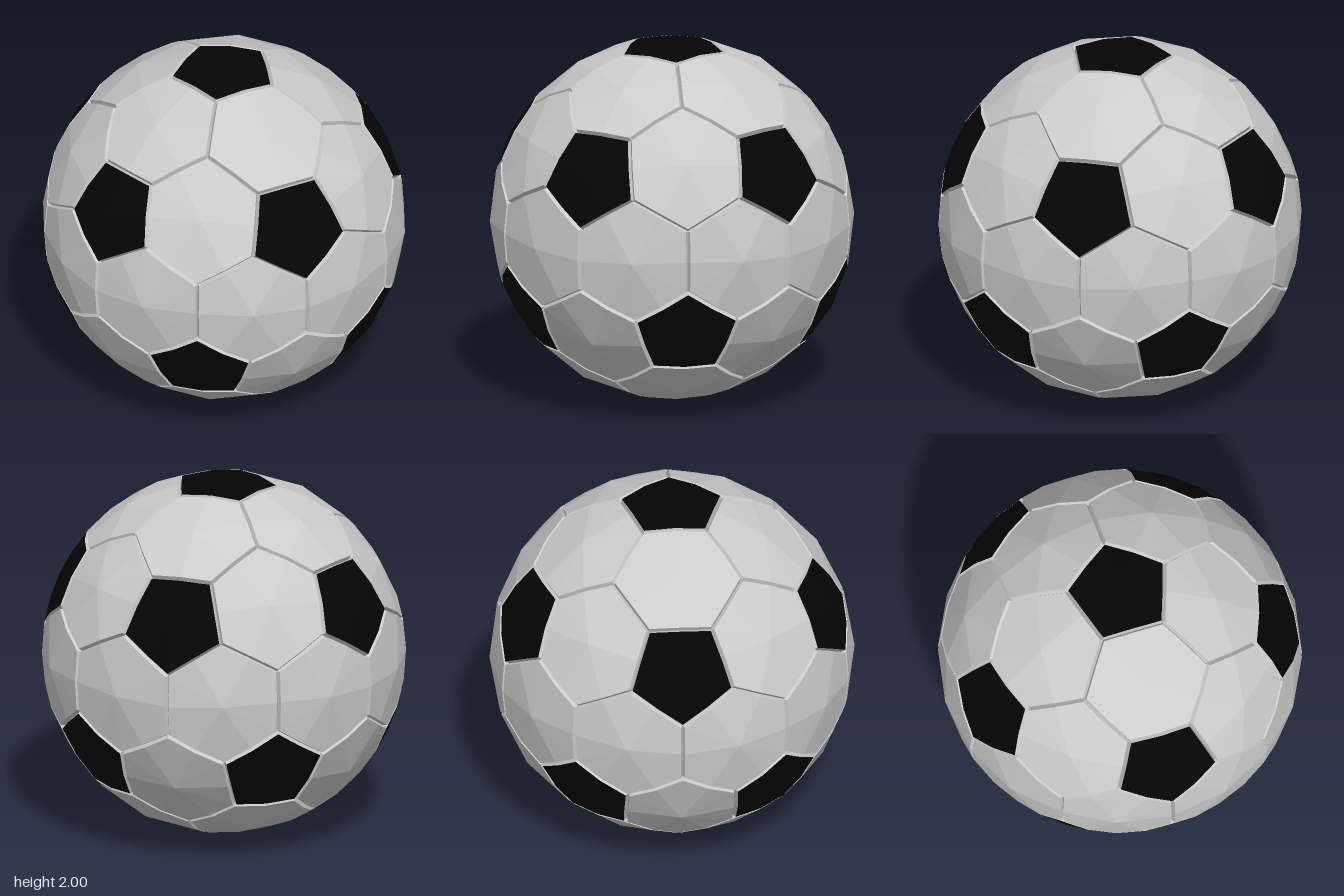
import * as THREE from 'three';

const RIM = 0.992, FLOOR = 0.966; // radii of panel borders and of the groove bottom
const INSET = 0.011;              // half the groove width
const PENT_ANGLE = THREE.MathUtils.degToRad(17.3);

const sum = (...vs) => vs.reduce((s, v) => s.add(v), new THREE.Vector3()).normalize();

// Point on the unit sphere at a given angle from a, on the way to b
function toward(a, b, angle) {
  const side = b.clone().addScaledVector(a, -a.dot(b)).normalize();
  return a.clone().multiplyScalar(Math.cos(angle)).addScaledVector(side, Math.sin(angle));
}

// Order directions counter-clockwise about a centre, seen from outside
function sortAround(center, dirs) {
  const u = dirs[0].clone().addScaledVector(center, -center.dot(dirs[0])).normalize();
  const w = center.clone().cross(u);
  const angle = (d) => Math.atan2(d.dot(w), d.dot(u));
  return [...dirs].sort((a, b) => angle(a) - angle(b));
}

// Insert the middle of every edge
function withMidpoints(ring) {
  return ring.flatMap((a, i) => [a, sum(a, ring[(i + 1) % ring.length])]);
}

// Move the corners of a ring inwards by the groove half-width
function insetRing(ring) {
  const n = ring.length;
  const normals = ring.map((a, i) => a.clone().cross(ring[(i + 1) % n]).normalize());
  return ring.map((a, i) => {
    const p = normals[(i + n - 1) % n], q = normals[i];
    return a.clone().addScaledVector(p.clone().add(q), INSET / (1 + p.dot(q))).normalize();
  });
}

function facets(points) {
  const geometry = new THREE.BufferGeometry().setFromPoints(points);
  geometry.computeVertexNormals();
  return geometry;
}

export function createModel() {
  const ball = new THREE.Group();
  ball.name = 'ball';
  const grey = new THREE.MeshStandardMaterial({ color: 0xcccccc, flatShading: true });
  const black = new THREE.MeshStandardMaterial({ color: 0x050505, flatShading: true });

  const add = (name, points, material) => {
    const mesh = new THREE.Mesh(facets(points), material);
    mesh.name = name;
    mesh.position.y = 1;
    ball.add(mesh);
  };

  // Domed fan for the panel, sloped strip down into the groove around it
  const addPanel = (name, center, corners, radius, material) => {
    const ring = sortAround(center, corners);
    const rim = withMidpoints(insetRing(ring)).map((v) => v.multiplyScalar(RIM));
    const low = withMidpoints(ring).map((v) => v.clone().multiplyScalar(FLOOR));
    const top = center.clone().multiplyScalar(radius);
    const face = [], wall = [];
    rim.forEach((a, i) => {
      const j = (i + 1) % rim.length;
      face.push(top, a, rim[j]);
      wall.push(a, low[i], low[j], a, low[j], rim[j]);
    });
    add(name, face, material);
    add(name + 'Seam', wall, grey);
  };

  // Twelve pentagon centres: two poles and two staggered rings of five
  const poles = [new THREE.Vector3(0, 1, 0), new THREE.Vector3(0, -1, 0)];
  const centers = [...poles];
  for (let k = 0; k < 10; k++) {
    const a = k * Math.PI / 5, y = k % 2 ? -1 : 1;
    centers.push(new THREE.Vector3(2 * Math.cos(a), y, 2 * Math.sin(a)).normalize());
  }
  const near = (a, b) => a !== b && a.dot(b) > 0.4;

  centers.forEach((p, index) => {
    const around = centers.filter((c) => near(p, c));

    // Pentagon, its corners pointing between neighbouring pentagons
    const ring = sortAround(p, around);
    const corners = ring.map((q, i) => toward(p, sum(p, q, ring[(i + 1) % 5]), PENT_ANGLE));
    addPanel('blackPanel', p, corners, 1, black);

    // Hexagon across each pair of neighbouring pentagons
    around.filter((q) => centers.indexOf(q) > index).forEach((q) => {
      const hex = around.filter((r) => near(q, r)).flatMap((r) => {
        const d = sum(p, q, r);
        return [toward(p, d, PENT_ANGLE), d, toward(q, d, PENT_ANGLE)];
      });
      addPanel('greyPanel', sum(p, q), hex, 0.997, grey);
    });
  });

  return ball;
}
